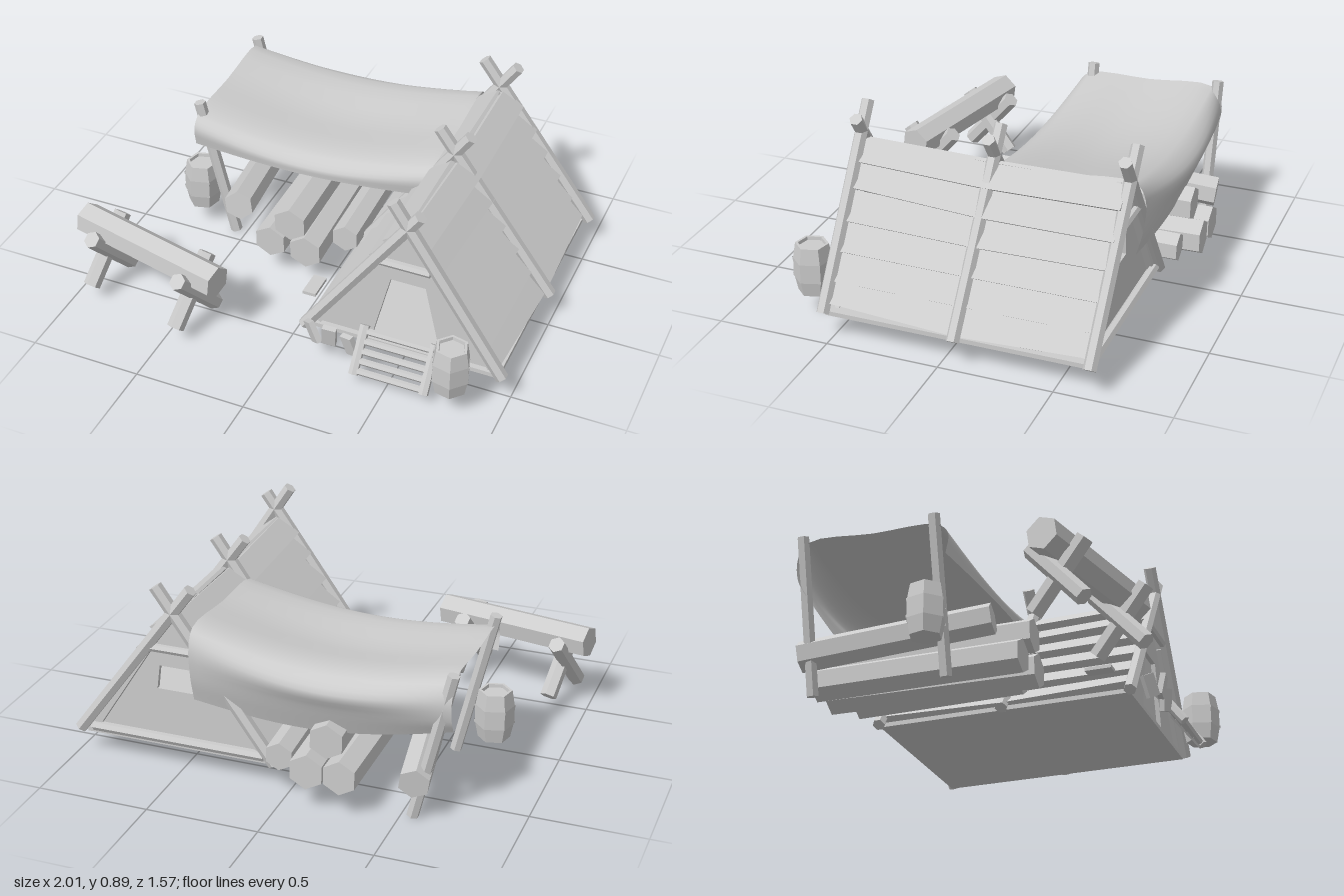
import * as THREE from 'three';

const grey = new THREE.MeshStandardMaterial({ color: 0xcccccc, side: THREE.DoubleSide });
grey.name = 'plain grey';
const V = (x, y, z) => new THREE.Vector3(x, y, z);

// Facet a geometry so that every side is flat
function facet(geo) {
  const g = geo.index ? geo.toNonIndexed() : geo;
  g.computeVertexNormals();
  return g;
}

function add(parent, name, geo, x = 0, y = 0, z = 0) {
  const m = new THREE.Mesh(geo, grey);
  m.name = name;
  m.position.set(x, y, z);
  parent.add(m);
  return m;
}

// Six-sided pole or log between two points
function pole(parent, name, a, b, r) {
  const d = b.clone().sub(a);
  const m = add(parent, name, facet(new THREE.CylinderGeometry(r, r, d.length(), 6)));
  m.position.copy(a).add(b).multiplyScalar(0.5);
  m.quaternion.setFromUnitVectors(V(0, 1, 0), d.normalize());
  return m;
}

// Flat outline given thickness along z
function slab(parent, name, pts, depth, z, hole) {
  const s = new THREE.Shape(pts.map(p => new THREE.Vector2(...p)));
  if (hole) s.holes.push(new THREE.Path(hole.map(p => new THREE.Vector2(...p))));
  return add(parent, name, facet(new THREE.ExtrudeGeometry(s, { depth, bevelEnabled: false })), 0, 0, z);
}

function makeHut() {
  const hut = new THREE.Group();
  hut.name = 'hut';
  const cx = 0.52;

  // Three pairs of crossed poles, each set a little differently
  [[0.53, 0.965, 0.465, 0.885, 0.585, 0.845],
    [-0.06, 0.98, 0.44, 0.86, 0.58, 0.85],
    [-0.645, 0.98, 0.43, 0.86, 0.59, 0.855]].forEach(([z, footX, rx, ry, lx, ly]) => {
    pole(hut, 'framePoleRight', V(footX, 0.125, z), V(rx, ry, z), 0.029);
    pole(hut, 'framePoleLeft', V(0.07, 0.115, z), V(lx, ly, z), 0.029);
  });

  // Lapped roof boards, thick at the lower edge and nailed on a little askew
  const foot = new THREE.Vector2(0.41, 0.12), top = new THREE.Vector2(0.012, 0.735);
  const along = top.clone().sub(foot), n = new THREE.Vector2(0.835, 0.55);
  const at = (t, off) => foot.clone().addScaledVector(along, t).addScaledVector(n, off);
  const halves = [
    { z: -0.06, outer: 1, slant: [0.04, 0, 0.005, 0.015, 0.04, 0.025] },
    { z: -0.64, outer: 0, slant: [0.03, 0, 0, 0.01, 0, 0.01] },
  ];
  for (const side of [1, -1]) {
    for (const { z, outer, slant } of halves) {
      slant.forEach((rise, i) => {
        const t0 = i / 6, t1 = Math.min(0.985, (i + 1) / 6 + 0.02);
        const pts = [at(t0, -0.018), at(t0, 0.04), at(t1, -0.002), at(t1, -0.018)];
        const board = slab(hut, 'roofBoard', pts.map(p => [cx + side * p.x, p.y]), 0.58, z);
        const pos = board.geometry.attributes.position;
        for (let k = 0; k < pos.count; k++) {
          // Raise the end away from the middle frame
          const s = rise * (1 - Math.abs(outer - pos.getZ(k) / 0.58));
          pos.setXY(k, pos.getX(k) + side * along.x * s, pos.getY(k) + along.y * s);
        }
        board.geometry.computeVertexNormals();
      });
    }
  }

  // Floor and gable walls, with a doorway in front and a window behind
  add(hut, 'floor', facet(new THREE.BoxGeometry(0.86, 0.02, 1.17)), cx, 0.12, -0.06);
  const gable = [[0.12, 0.12], [0.92, 0.12], [0.52, 0.73]];
  slab(hut, 'frontWall', gable, 0.02, 0.48, [[0.37, 0.13], [0.68, 0.13], [0.605, 0.46], [0.45, 0.46]]);
  slab(hut, 'backWall', gable, 0.02, -0.61, [[0.435, 0.36], [0.62, 0.36], [0.605, 0.47], [0.45, 0.47]]);
  for (const z of [0.53, -0.645]) {
    pole(hut, 'collarBeam', V(0.385, 0.57, z), V(0.635, 0.57, z), 0.018);
  }
  pole(hut, 'backSill', V(0.12, 0.14, -0.64), V(0.92, 0.14, -0.64), 0.022);

  // Sloping entrance steps
  for (const x of [0.365, 0.68]) pole(hut, 'stepRail', V(x, 0.23, 0.56), V(x, 0.06, 0.69), 0.022);
  for (let i = 0; i < 5; i++) {
    const y = 0.21 - 0.034 * i, z = 0.575 + 0.026 * i;
    pole(hut, 'stepSlat', V(0.37, y, z), V(0.675, y, z), 0.0155);
  }

  // Thin board on the left slope and loose offcuts by the door
  add(hut, 'sideBoard', facet(new THREE.BoxGeometry(0.06, 0.015, 0.12)), 0.06, 0.22, 0.4);
  [[0.14, 0.15, 0.6, 0.6], [0.23, 0.18, 0.63, -0.1], [0.32, 0.15, 0.62, 0.3]].forEach(([x, y, z, r]) => {
    add(hut, 'offcut', facet(new THREE.BoxGeometry(0.06, 0.1, 0.025)), x, y, z).rotation.set(0.2, -r, r);
  });
  return hut;
}

function makeCanopy() {
  const canopy = new THREE.Group();
  canopy.name = 'canopy';
  for (const z of [-0.065, -0.665]) pole(canopy, 'canopyPost', V(-0.71, 0.68, z), V(-0.55, 0.01, z), 0.027);

  // Sagging cloth: a hanging cross-section swept along x
  const nx = 28, nz = 28;
  const geo = new THREE.PlaneGeometry(1, 1, nx, nz);
  const pos = geo.attributes.position;
  for (let i = 0; i <= nx; i++) {
    const u = i / nx, belly = Math.sin(Math.PI * u);
    const y = 0.64 + 0.04 * u - 0.065 * belly;
    const section = new THREE.CatmullRomCurve3([
      V(0, 0.49 + 0.04 * u - 0.015 * belly, -0.01 + 0.03 * belly),
      V(0, y - 0.06, 0.0 + 0.02 * belly),
      V(0, y - 0.01, -0.05),
      V(0, y - 0.015 * belly, -0.34),
      V(0, y + 0.01, -0.64),
      V(0, y - 0.06, -0.685 - 0.045 * belly),
      V(0, 0.48 - 0.03 * belly, -0.68 - 0.02 * belly),
      V(0, 0.42 - 0.06 * u - 0.07 * belly, -0.65),
    ]);
    for (let j = 0; j <= nz; j++) {
      const p = section.getPoint(j / nz);
      pos.setXYZ(j * (nx + 1) + i, -0.71 + 1.14 * u, p.y, p.z);
    }
  }
  geo.computeVertexNormals();
  add(canopy, 'cloth', geo);
  return canopy;
}

function makeLogPile() {
  const pile = new THREE.Group();
  pile.name = 'logPile';
  [ // front end, back end, radius
    [-0.265, 0.19, 0.165, -0.27, 0.19, -0.785, 0.078],
    [-0.09, 0.19, 0.175, -0.125, 0.19, -0.785, 0.08],
    [0.05, 0.22, 0.05, 0.02, 0.2, -0.72, 0.065],
    [-0.16, 0.325, 0.18, -0.19, 0.31, -0.72, 0.08],
    [-0.45, 0.29, 0.1, -0.57, 0.19, -0.72, 0.07],
  ].forEach(([x, y, z, X, Y, Z, r]) => pole(pile, 'log', V(x, y, z), V(X, Y, Z), r));
  return pile;
}

// Barrel with bulging staves and raised hoops
function makeBarrel(x, z, turn) {
  const barrel = new THREE.Group();
  barrel.name = 'barrel';
  const profile = [[0, 0], [0.07, 0], [0.085, 0.075], [0.085, 0.15], [0.072, 0.225], [0.06, 0.225], [0.058, 0.21], [0, 0.21]]
    .map(p => new THREE.Vector2(...p));
  add(barrel, 'staves', facet(new THREE.LatheGeometry(profile, 6)));
  for (const y of [0.075, 0.15]) {
    add(barrel, 'hoop', facet(new THREE.CylinderGeometry(0.088, 0.088, 0.012, 6, 1, true)), 0, y, 0);
  }
  barrel.position.set(x, 0.115, z);
  barrel.rotation.y = turn;
  return barrel;
}

function makeBench() {
  const bench = new THREE.Group();
  bench.name = 'bench';
  const seat = pole(bench, 'benchSeat', V(-0.37, 0.345, 0), V(0.37, 0.33, 0), 0.073);
  seat.rotateY(Math.PI / 6 - 0.15);
  // Crossed legs at both ends
  for (const x of [-0.25, 0.235]) {
    for (const s of [1, -1]) {
      pole(bench, 'benchLeg', V(x - 0.012 * s, 0.085, 0.12 * s), V(x - 0.012 * s, 0.35, -0.115 * s), 0.038);
    }
  }
  bench.position.set(-0.633, 0, 0.585);
  bench.rotation.y = -0.22;
  return bench;
}

export function createModel() {
  const model = new THREE.Group();
  model.name = 'camp';
  model.add(makeHut(), makeCanopy(), makeLogPile(), makeBench(),
    makeBarrel(0.785, 0.66, 0.3), makeBarrel(-0.725, -0.085, 0.8));
  return model;
}
